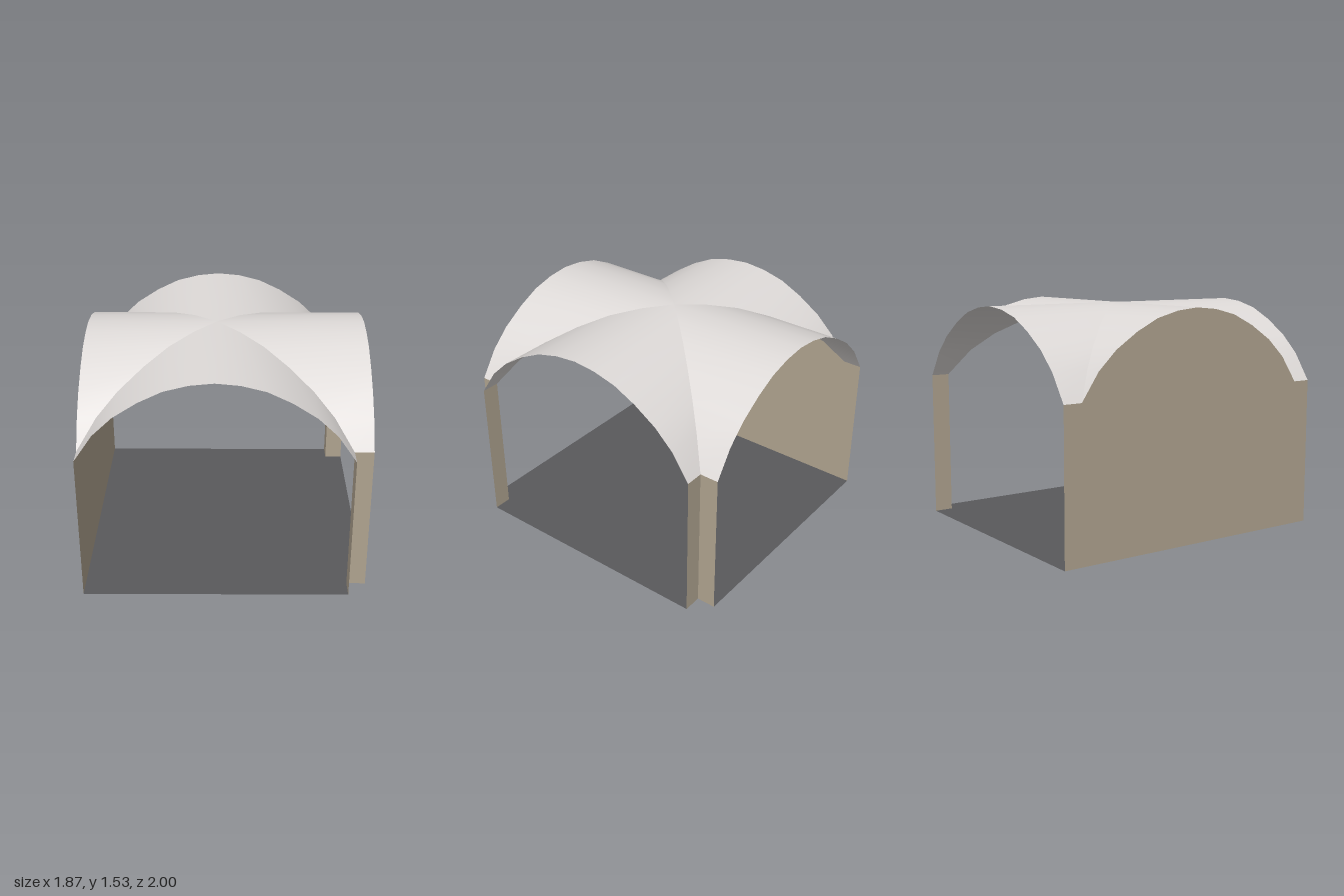
import * as THREE from 'three';

const HALF = 0.873;   // half span of both barrel vaults
const CX = -0.062;    // x of the crossing
const BACK = CX - HALF, INNER = CX + HALF, OUTER = 0.935;
const SPRING = 1.0;   // height where the arches start

// right half of the arch: [offset from crown, height]
const HALF_ARCH = [[0, 1.532], [0.155, 1.517], [0.312, 1.477], [0.467, 1.402],
  [0.624, 1.3], [0.752, 1.178], [HALF, SPRING]];
const ARCH = [...HALF_ARCH.slice(1).reverse().map(([u, y]) => [-u, y]), ...HALF_ARCH];

function material(name, color) {
  const m = new THREE.MeshStandardMaterial({ color, side: THREE.DoubleSide });
  m.name = name;
  return m;
}

// one web of the groin vault, running from the diagonals out to z = length
function webGeometry(length) {
  const pos = [], index = [];
  ARCH.forEach(([u, y], i) => {
    pos.push(u, y, Math.abs(u), u, y, length);
    if (i === 0) return;
    const a = 2 * (i - 1), b = a + 1, d = a + 2, c = a + 3;
    index.push(a, b, c, a, c, d);
  });
  const g = new THREE.BufferGeometry();
  g.setAttribute('position', new THREE.Float32BufferAttribute(pos, 3));
  g.setIndex(index);
  g.computeVertexNormals();
  return g;
}

const shapeFrom = (pts) => new THREE.Shape(pts.map(([x, y]) => new THREE.Vector2(x, y)));

export function createModel() {
  const model = new THREE.Group();
  model.name = 'groinVaultBay';
  const plaster = material('vault plaster', 0xdedad8);
  const stone = material('wall stone', 0xb0a490);
  const paving = material('floor paving', 0x59595b);

  const add = (name, geometry, mat) => {
    const mesh = new THREE.Mesh(geometry, mat);
    mesh.name = name;
    model.add(mesh);
    return mesh;
  };

  // four vault webs meeting at the crossing
  const webs = [['frontWeb', 1], ['leftWeb', OUTER - CX], ['backWeb', 1], ['rightWeb', HALF]];
  webs.forEach(([name, length], k) => {
    add(name, webGeometry(length).rotateY(k * Math.PI / 2), plaster).position.x = CX;
  });

  // closed end wall with an arched top
  const wall = shapeFrom([[-1, 0], [1, 0], [1, SPRING], ...ARCH.slice().reverse(), [-1, SPRING]]);
  add('endWall', new THREE.ShapeGeometry(wall).rotateY(Math.PI / 2), stone).position.x = BACK;

  // corner piers: two thin faces forming a re-entrant corner
  for (const s of [1, -1]) {
    const pier = new THREE.Group();
    pier.name = s > 0 ? 'frontPier' : 'backPier';
    const face = (name, width) => {
      const mesh = new THREE.Mesh(new THREE.PlaneGeometry(width, SPRING), stone);
      mesh.name = name;
      pier.add(mesh);
      return mesh;
    };
    face('pierFaceAcross', OUTER - INNER)
      .position.set((INNER + OUTER) / 2, SPRING / 2, s * HALF);
    if (s < 0) pier.children[0].rotation.y = Math.PI;
    const side = face('pierFaceAlong', 1 - HALF);
    side.position.set(INNER, SPRING / 2, s * (1 + HALF) / 2);
    side.rotation.y = Math.PI / 2;
    model.add(pier);
  }

  // floor with notched corners at the piers
  const floor = shapeFrom([[BACK, -1], [INNER, -1], [INNER, -HALF], [OUTER, -HALF],
    [OUTER, HALF], [INNER, HALF], [INNER, 1], [BACK, 1]]);
  add('floor', new THREE.ShapeGeometry(floor).rotateX(-Math.PI / 2), paving);

  return model;
}
